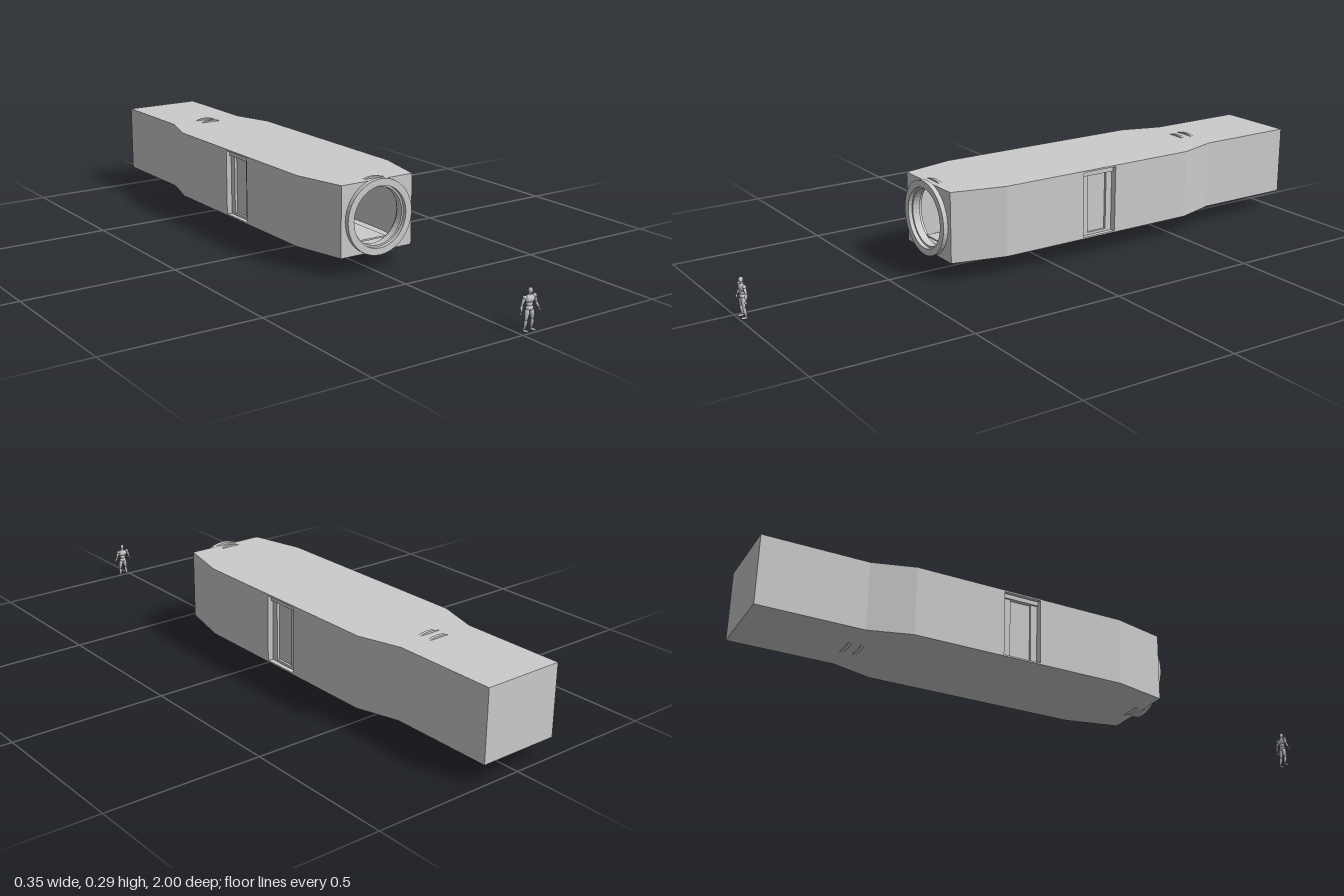
import * as THREE from 'three';

const mat = new THREE.MeshStandardMaterial({ color: 0xcccccc, side: THREE.DoubleSide });
const CY = 0.175; // height of the round hatch axis

function add(parent, name, geo, x = 0, y = 0, z = 0) {
  const m = new THREE.Mesh(geo, mat);
  m.name = name;
  m.position.set(x, y, z);
  parent.add(m);
  return m;
}

// Plan outline of [x, z] points, extruded upwards from y0 to y1
function slab(points, y0, y1) {
  const shape = new THREE.Shape(points.map(([x, z]) => new THREE.Vector2(x, -z)));
  const g = new THREE.ExtrudeGeometry(shape, { depth: y1 - y0, bevelEnabled: false });
  return g.rotateX(-Math.PI / 2).translate(0, y0, 0);
}

const mirrored = (pts) => [...pts, ...pts.map(([x, z]) => [-x, z]).reverse()];

function circle(r, Type = THREE.Path) {
  const p = new Type();
  p.absarc(0, 0, r, 0, Math.PI * 2, Type === THREE.Path);
  return p;
}

function ring(rOut, rIn, depth) {
  const s = circle(rOut, THREE.Shape);
  s.holes.push(circle(rIn));
  return new THREE.ExtrudeGeometry(s, { depth, bevelEnabled: false, curveSegments: 20 });
}

// Wall with a round opening
function bulkhead(halfWidth, depth) {
  const s = new THREE.Shape();
  s.moveTo(-halfWidth, -0.107).lineTo(halfWidth, -0.107);
  s.lineTo(halfWidth, 0.108).lineTo(-halfWidth, 0.108);
  s.holes.push(circle(0.097));
  return new THREE.ExtrudeGeometry(s, { depth, bevelEnabled: false, curveSegments: 20 });
}

// Tapered limb between two points, with rounded joints
function limb(parent, name, a, b, ra, rb) {
  const va = new THREE.Vector3(...a), vb = new THREE.Vector3(...b);
  const d = vb.clone().sub(va), len = d.length(), pts = [];
  const rm = Math.max(ra, rb) * 1.12;
  pts.push([0, -ra * 0.7], [ra * 0.75, -ra * 0.4], [ra, 0], [rm, len * 0.35],
    [rb, len], [rb * 0.7, len + rb * 0.5], [0, len + rb * 0.7]);
  const g = new THREE.LatheGeometry(pts.map(([x, y]) => new THREE.Vector2(x, y)), 10);
  const m = add(parent, name, g, ...a);
  m.quaternion.setFromUnitVectors(new THREE.Vector3(0, 1, 0), d.normalize());
}

function ball(parent, name, p, s) {
  add(parent, name, new THREE.SphereGeometry(1, 12, 9), ...p).scale.set(...s);
}

// Jointed standing mannequin, 0.125 tall
function mannequin(name) {
  const g = new THREE.Group();
  g.name = name;
  ball(g, 'head', [0, 0.116, 0.001], [0.0062, 0.0088, 0.0075]);
  limb(g, 'neck', [0, 0.1, -0.001], [0, 0.11, 0], 0.005, 0.0038);
  ball(g, 'chest', [0, 0.093, 0], [0.0165, 0.0125, 0.0095]);
  ball(g, 'abdomen', [0, 0.079, 0], [0.011, 0.01, 0.0075]);
  ball(g, 'pelvis', [0, 0.067, 0], [0.0125, 0.0085, 0.0085]);
  for (const s of [1, -1]) {
    ball(g, 'shoulder', [s * 0.018, 0.0985, -0.001], [0.006, 0.006, 0.006]);
    limb(g, 'upperArm', [s * 0.0195, 0.096, -0.001], [s * 0.0255, 0.079, -0.002], 0.0042, 0.0035);
    limb(g, 'forearm', [s * 0.026, 0.077, -0.002], [s * 0.0325, 0.062, 0.003], 0.0037, 0.0022);
    ball(g, 'hand', [s * 0.0342, 0.0565, 0.004], [0.0022, 0.0055, 0.0035]);
    limb(g, 'thigh', [s * 0.0075, 0.061, 0], [s * 0.0115, 0.036, 0.001], 0.0065, 0.0045);
    limb(g, 'shin', [s * 0.0115, 0.032, 0.001], [s * 0.013, 0.008, -0.003], 0.0046, 0.0028);
    ball(g, 'foot', [s * 0.0135, 0.0035, 0.003], [0.0038, 0.0035, 0.0115]);
  }
  return g;
}

export function createModel() {
  const model = new THREE.Group();
  const hull = new THREE.Group();
  hull.name = 'hull';
  model.add(hull);

  // Roof and base plates with the full plan outline
  const outline = mirrored([[0.132, 0.355], [0.173, 0.18], [0.173, -0.53], [0.132, -0.665], [0.132, -1]]);
  add(hull, 'basePlate', slab(outline, 0.063, 0.068));
  add(hull, 'roofPlate', slab(outline, 0.283, 0.288));

  // Side and rear walls, notched for the side doors, open at the front
  const walls = mirrored([
    [0.122, 0.355], [0.132, 0.355], [0.173, 0.18],
    [0.173, -0.11], [0.15, -0.115], [0.15, -0.23], [0.173, -0.235],
    [0.173, -0.53], [0.132, -0.665], [0.132, -1],
  ]);
  const inner = [[-0.122, 0.355], [-0.14, 0.18], [-0.14, -0.53], [-0.122, -0.665], [-0.122, -0.99]];
  const back = inner.slice(1).map(([x, z]) => [-x, z]).reverse();
  add(hull, 'walls', slab([...walls, ...inner.slice(1), ...back], 0.068, 0.283));

  // Side doors: raised frame around a recessed panel
  for (const s of [1, -1]) {
    const door = new THREE.Group();
    door.name = s > 0 ? 'leftDoor' : 'rightDoor';
    hull.add(door);
    for (const z of [-0.126, -0.219]) {
      add(door, 'doorPost', new THREE.BoxGeometry(0.008, 0.207, 0.022), s * 0.154, 0.172, z);
    }
    add(door, 'doorHeader', new THREE.BoxGeometry(0.014, 0.014, 0.115), s * 0.157, 0.274, -0.1725);
    add(door, 'doorSill', new THREE.BoxGeometry(0.008, 0.008, 0.071), s * 0.154, 0.072, -0.1725);
  }

  // Front and inner bulkheads
  add(hull, 'frontBulkhead', bulkhead(0.123, 0.02), 0, CY, 0.335);
  add(hull, 'innerBulkhead', bulkhead(0.124, 0.03), 0, CY, -0.67);

  // Hatch rings
  add(hull, 'frontRing', ring(0.119, 0.097, 0.015), 0, CY, 0.357);
  add(hull, 'frontRingLip', ring(0.0975, 0.091, 0.024), 0, CY, 0.335);
  for (const z of [0.325, -0.64, -0.68]) {
    add(hull, 'hatchRing', ring(0.119, 0.097, 0.01), 0, CY, z);
  }

  // Raised walkway along the interior
  add(hull, 'walkway', new THREE.BoxGeometry(0.1, 0.005, 1.325), 0, 0.0975, -0.3275);

  // One mannequin inside, one on the ground in front
  const crew = mannequin('insideMannequin');
  crew.position.set(0, 0.1, 0);
  const visitor = mannequin('outsideMannequin');
  visitor.position.set(0.034, 0, 0.985);
  model.add(crew, visitor);
  return model;
}
